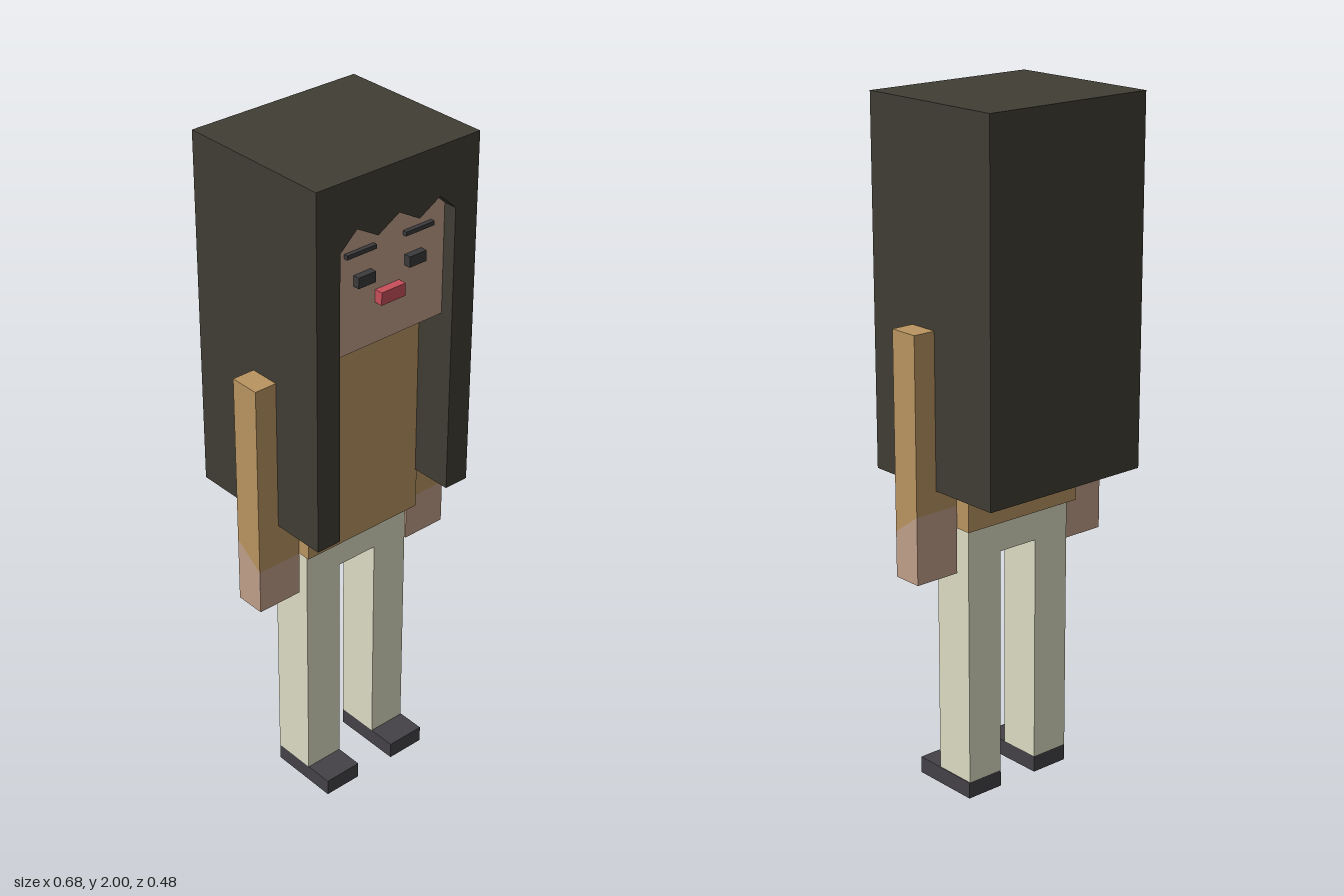
import * as THREE from 'three';

const mat = (color) => new THREE.MeshStandardMaterial({ color, flatShading: true });

export function createModel() {
  const model = new THREE.Group();
  model.name = 'blockyFigure';
  const hairMat = mat(0x403d34), skin = mat(0xc0a08a), shirt = mat(0xba9460);
  const trousers = mat(0xdddcc4), shoe = mat(0x444246), dark = mat(0x3b3a3c), lip = mat(0xc8505a);

  const add = (name, geometry, material) => {
    const mesh = new THREE.Mesh(geometry, material);
    mesh.name = name;
    model.add(mesh);
    return mesh;
  };
  // Box given by its limits on each axis
  const box = (name, material, [x0, x1], [y0, y1], [z0, z1]) => {
    const g = new THREE.BoxGeometry(x1 - x0, y1 - y0, z1 - z0);
    g.translate((x0 + x1) / 2, (y0 + y1) / 2, (z0 + z1) / 2);
    return add(name, g, material);
  };
  // Outline in x, y drawn out between two depths
  const slab = (name, material, points, z0, z1) => {
    const shape = new THREE.Shape(points.map(([x, y]) => new THREE.Vector2(x, y)));
    const g = new THREE.ExtrudeGeometry(shape, { depth: z1 - z0, bevelEnabled: false });
    g.translate(0, 0, z0);
    return add(name, g, material);
  };

  // Hair: arch with a jagged fringe, closed by a back wall
  slab('hair', hairMat, [
    [-0.272, 0.95], [-0.195, 0.95], [-0.195, 1.81], [-0.14, 1.86], [-0.07, 1.82], [0, 1.86],
    [0.07, 1.82], [0.14, 1.86], [0.195, 1.81], [0.195, 0.95], [0.272, 0.95], [0.272, 2], [-0.272, 2],
  ], -0.2, 0.24);
  box('hairBack', hairMat, [-0.272, 0.272], [0.95, 2], [-0.24, -0.2]);

  // Head, neck and mouth
  box('head', skin, [-0.196, 0.196], [1.487, 1.9], [-0.19, 0.2]);
  box('neck', skin, [-0.048, 0.048], [1.43, 1.49], [-0.02, 0.07]);
  box('mouth', lip, [-0.042, 0.04], [1.605, 1.642], [0.19, 0.225]);

  // Torso
  box('torso', shirt, [-0.2, 0.2], [0.825, 1.44], [-0.065, 0.115]);

  // Trousers: hips and both legs in one outline
  slab('trousers', trousers, [
    [-0.185, 0.05], [-0.065, 0.05], [-0.065, 0.73], [0.065, 0.73],
    [0.065, 0.05], [0.182, 0.05], [0.182, 0.83], [-0.185, 0.83],
  ], -0.042, 0.09);

  for (const [side, s] of [['left', 1], ['right', -1]]) {
    const span = (a, b) => (s > 0 ? [a, b] : [-b, -a]);
    box(side + 'Eye', dark, span(0.058, 0.116), [1.677, 1.708], [0.19, 0.22]);
    box(side + 'Brow', dark, span(0.05, 0.148), [1.766, 1.778], [0.19, 0.213]);
    box(side + 'Shoe', shoe, span(0.065, 0.184), [0, 0.05], [-0.042, 0.175]);

    // Sleeve and hand share a seam that slopes up towards the back
    const sleeve = box(side + 'Sleeve', shirt, span(0.2, 0.34), [0.825, 1.398], [-0.015, 0.076]);
    const hand = box(side + 'Hand', skin, span(0.2, 0.34), [0.692, 0.825], [-0.015, 0.076]);
    for (const part of [sleeve, hand]) {
      const p = part.geometry.attributes.position;
      for (let i = 0; i < p.count; i++) {
        if (Math.abs(p.getY(i) - 0.825) < 1e-4 && p.getZ(i) < 0) p.setY(i, 0.89);
      }
      part.geometry.computeVertexNormals();
    }
  }
  return model;
}
